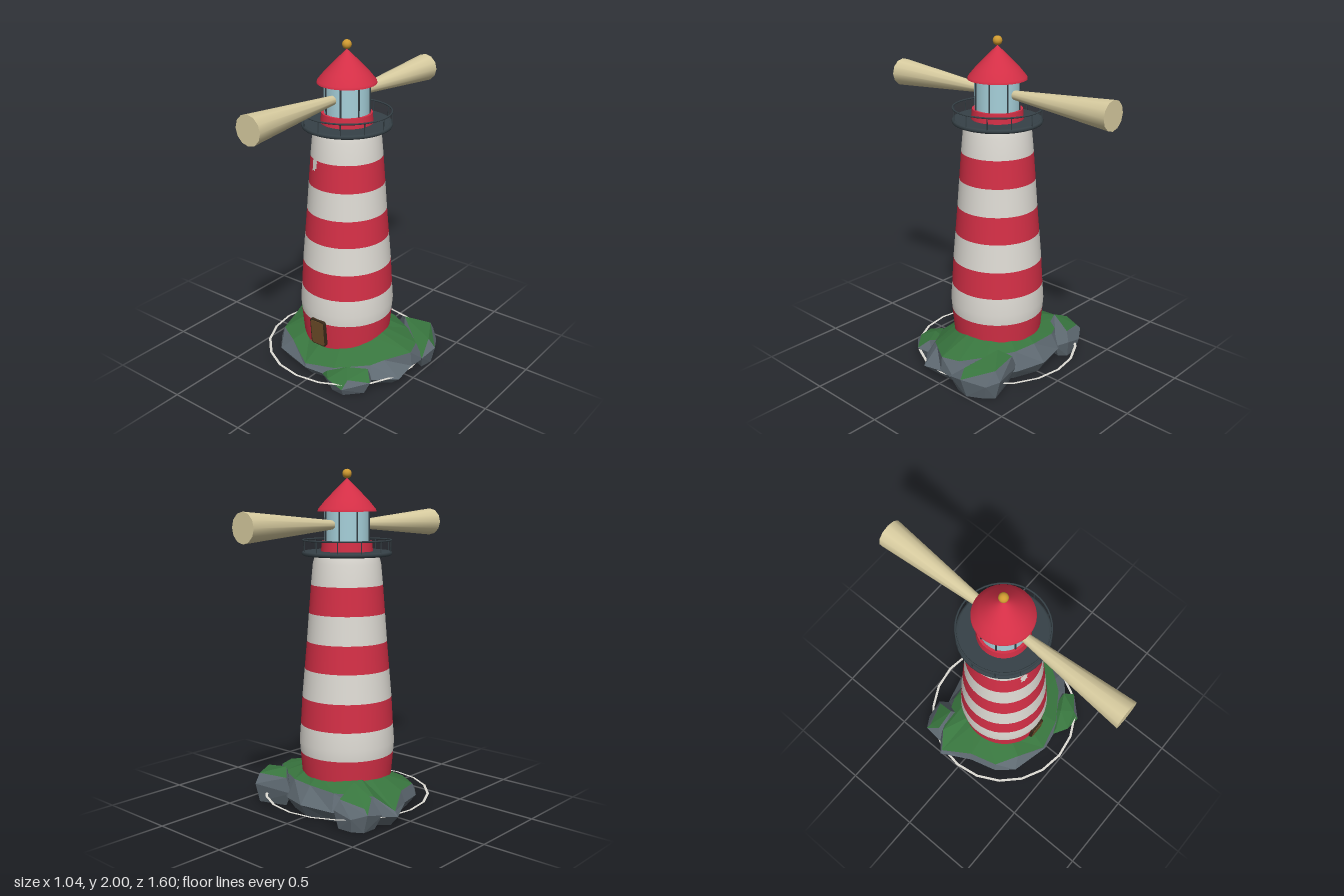
import * as THREE from 'three';
import { ConvexGeometry } from 'three/addons/geometries/ConvexGeometry.js';

const paint = (name, color, extra = {}) =>
  Object.assign(new THREE.MeshStandardMaterial({ color, ...extra }), { name });

export function createModel() {
  const red = paint('red', 0xd42f46);
  const white = paint('white', 0xdedbd4, { side: THREE.DoubleSide });
  const grass = paint('grass', 0x38753e, { flatShading: true });
  const stone = paint('stone', 0x5f6a72, { flatShading: true });
  const metal = paint('dark metal', 0x364147);
  const glass = paint('glass', 0xa6d0da);
  const beamMat = paint('light beam', 0xd8cca0);
  const gold = paint('gold', 0xcf9a30);
  const wood = paint('door wood', 0x6e4d28);
  const frameMat = paint('door frame', 0x3a2a1a);

  const model = new THREE.Group();
  const tower = new THREE.Group();
  tower.name = 'tower';
  tower.position.x = -0.01;
  model.add(tower);

  const add = (name, geo, mat, x = 0, y = 0, z = 0, parent = tower) => {
    const m = new THREE.Mesh(geo, mat);
    m.name = name;
    m.position.set(x, y, z);
    parent.add(m);
    return m;
  };
  const lathe = (pts, seg = 40) =>
    new THREE.LatheGeometry(pts.map(([r, y]) => new THREE.Vector2(r, y)), seg);
  const flatRing = (r, tube, sides = 40) =>
    new THREE.TorusGeometry(r, tube, 8, sides).rotateX(Math.PI / 2);

  // Tower wall: radius by height, cut into eight equal bands
  const profile = [[0.26, 0.12], [0.27, 0.22], [0.28, 0.335], [0.285, 0.4], [0.277, 0.505],
    [0.267, 0.67], [0.252, 0.84], [0.238, 1.0], [0.225, 1.17], [0.212, 1.335], [0.2, 1.46], [0.186, 1.51]];
  const radiusAt = (y) => {
    let i = 1;
    while (i < profile.length - 1 && profile[i][1] < y) i++;
    const [r0, y0] = profile[i - 1], [r1, y1] = profile[i];
    return r0 + (r1 - r0) * (y - y0) / (y1 - y0);
  };
  const levels = [0.12, 0.335, 0.505, 0.67, 0.84, 1.003, 1.17, 1.335, 1.51];
  for (let i = 0; i < 8; i++) {
    const [a, b] = [levels[i], levels[i + 1]];
    const inner = profile.filter(([, y]) => y > a + 0.005 && y < b - 0.005);
    add('wallBand' + (i + 1), lathe([[radiusAt(a), a], ...inner, [radiusAt(b), b]]), i % 2 ? white : red);
  }

  // Chipped paint patch, bent onto the wall
  const chip = new THREE.Shape([[-0.093, 1.268], [-0.078, 1.275], [-0.07, 1.267], [-0.064, 1.285], [-0.05, 1.29],
    [-0.055, 1.318], [-0.046, 1.325], [-0.06, 1.345], [-0.085, 1.342], [-0.093, 1.318], [-0.087, 1.3]]
    .map(([x, y]) => new THREE.Vector2(x, y)));
  const chipGeo = new THREE.ShapeGeometry(chip);
  const cp = chipGeo.attributes.position;
  for (let i = 0; i < cp.count; i++) {
    cp.setZ(i, Math.sqrt(radiusAt(cp.getY(i)) ** 2 - cp.getX(i) ** 2) + 0.005);
  }
  chipGeo.computeVertexNormals();
  add('paintChip', chipGeo, white);

  // Door: rounded panel on a slightly larger frame, leaning with the wall
  const panel = (w, h, r, depth) => {
    const s = new THREE.Shape(), x = w / 2, y = h / 2;
    s.moveTo(-x + r, -y).lineTo(x - r, -y).quadraticCurveTo(x, -y, x, -y + r)
      .lineTo(x, y - r).quadraticCurveTo(x, y, x - r, y)
      .lineTo(-x + r, y).quadraticCurveTo(-x, y, -x, y - r)
      .lineTo(-x, -y + r).quadraticCurveTo(-x, -y, -x + r, -y);
    return new THREE.ExtrudeGeometry(s, { depth, bevelEnabled: false, curveSegments: 4 });
  };
  const door = new THREE.Group();
  door.name = 'door';
  door.position.set(0, 0.267, 0.262);
  door.rotation.x = 0.08;
  tower.add(door);
  add('doorFrame', panel(0.108, 0.176, 0.018, 0.026), frameMat, 0, 0, 0, door);
  add('doorPanel', panel(0.092, 0.16, 0.012, 0.029), wood, 0, 0, 0, door);

  // Gallery deck and railing
  add('galleryDeck', new THREE.CylinderGeometry(0.25, 0.25, 0.026, 40), metal, 0, 1.516);
  add('galleryEdge', flatRing(0.25, 0.014), metal, 0, 1.517);
  add('handRail', flatRing(0.258, 0.005), metal, 0, 1.593);
  for (let i = 0; i < 12; i++) {
    const a = i * Math.PI / 6;
    add('railPost', new THREE.CylinderGeometry(0.003, 0.003, 0.075, 6), metal,
      0.258 * Math.sin(a), 1.555, 0.258 * Math.cos(a));
  }

  // Lantern room
  add('lanternBase', new THREE.CylinderGeometry(0.147, 0.152, 0.06, 40), red, 0, 1.558);
  add('lanternGlass', new THREE.CylinderGeometry(0.132, 0.132, 0.18, 40), glass, 0, 1.675);
  for (let i = 0; i < 8; i++) {
    const a = (i + 0.5) * Math.PI / 4;
    add('glazingBar', new THREE.CylinderGeometry(0.005, 0.005, 0.18, 6), metal,
      0.134 * Math.sin(a), 1.675, 0.134 * Math.cos(a));
  }
  add('roof', lathe([[0, 1.758], [0.171, 1.758], [0.171, 1.758], [0.168, 1.772], [0.128, 1.82],
    [0.065, 1.885], [0, 1.948]]), red);
  add('finial', new THREE.SphereGeometry(0.027, 20, 14), gold, 0, 1.973);

  // Light beams to front and back
  for (const s of [1, -1]) {
    const geo = new THREE.CylinderGeometry(0.084, 0.024, 0.7, 12).rotateX(s * Math.PI / 2);
    add(s > 0 ? 'frontBeam' : 'backBeam', geo, beamMat, 0, 1.683, s * 0.45);
  }

  // Foam ring on the waterline
  add('foamRing', new THREE.RingGeometry(0.484, 0.5, 20).rotateX(-Math.PI / 2), white, 0, 0.07, 0);

  // Island: rim x, z, y, then shoulder x, z, y, going round from the left
  const rim = [
    [-0.52, -0.14, 0.07, -0.5, -0.14, 0.1], [-0.42, -0.23, 0.07, -0.4, -0.21, 0.18],
    [-0.2, -0.34, 0.07, -0.18, -0.3, 0.17], [0, -0.39, 0.08, 0, -0.31, 0.18],
    [0.17, -0.33, 0.07, 0.15, -0.29, 0.18], [0.33, -0.24, 0.07, 0.31, -0.21, 0.18],
    [0.49, -0.12, 0.07, 0.44, -0.11, 0.17], [0.485, 0, 0.08, 0.475, 0, 0.17],
    [0.49, 0.14, 0.06, 0.38, 0.14, 0.15], [0.37, 0.24, 0.06, 0.33, 0.21, 0.13],
    [0.18, 0.35, 0.05, 0.15, 0.33, 0.1], [-0.03, 0.385, 0.06, -0.04, 0.375, 0.08],
    [-0.28, 0.325, 0.07, -0.21, 0.29, 0.14], [-0.37, 0.22, 0.07, -0.35, 0.21, 0.14],
    [-0.42, 0.05, 0.08, -0.4, 0.04, 0.15]];
  const rings = [
    rim.map(() => [0, 0, 0]),
    rim.map(([x, z]) => [x * 0.87, 0, z * 0.87]),
    rim.map(([x, z, y]) => [x, y, z]),
    rim.map((p) => [p[3], p[5], p[4]]),
    rim.map(([x, z]) => {
      const k = 0.24 / Math.hypot(x, z);
      return [x * k, 0.235 - Math.max(0, z * k) * 0.22, z * k];
    }),
    rim.map(() => [0, 0.23, 0])];
  const band = (from, to) => {
    const v = [];
    for (let k = from; k < to; k++) {
      for (let i = 0; i < rim.length; i++) {
        const j = (i + 1) % rim.length, [lo, up] = [rings[k], rings[k + 1]];
        v.push(...lo[i], ...up[i], ...up[j], ...lo[i], ...up[j], ...lo[j]);
      }
    }
    const g = new THREE.BufferGeometry();
    g.setAttribute('position', new THREE.Float32BufferAttribute(v, 3));
    g.computeVertexNormals();
    return g;
  };
  add('islandRock', band(0, 3), stone, 0, 0, 0, model);
  add('islandGrass', band(3, 5), grass, 0, 0, 0, model);

  // Boulders: hull of an outline and some top points, upward faces grassed
  const boulder = (name, outline, midY, tops) => {
    const n = outline.length;
    const cx = outline.reduce((s, p) => s + p[0], 0) / n, cz = outline.reduce((s, p) => s + p[1], 0) / n;
    const pts = tops.map((t) => new THREE.Vector3(...t));
    outline.forEach(([x, z], i) => pts.push(
      new THREE.Vector3(x, midY + (i % 2) * 0.03, z),
      new THREE.Vector3(cx + (x - cx) * 0.75, 0, cz + (z - cz) * 0.75)));
    const geo = new ConvexGeometry(pts);
    const nor = geo.attributes.normal;
    for (let i = 0; i < nor.count; i += 3) geo.addGroup(i, 3, nor.getY(i) > 0.6 ? 1 : 0);
    add(name, geo, [stone, grass], 0, 0, 0, model);
  };
  boulder('backLeftBoulder',
    [[0.16, -0.31], [0.39, -0.387], [0.45, -0.33], [0.522, -0.2], [0.5, -0.09], [0.3, -0.18]], 0.09,
    [[0.26, 0.225, -0.25], [0.39, 0.18, -0.35], [0.48, 0.175, -0.19], [0.2, 0.18, -0.31]]);
  boulder('backRightBoulder',
    [[-0.455, -0.2], [-0.45, -0.32], [-0.37, -0.37], [-0.25, -0.38], [-0.2, -0.32], [-0.22, -0.2]], 0.08,
    [[-0.28, 0.245, -0.24], [-0.41, 0.18, -0.24], [-0.27, 0.17, -0.35], [-0.42, 0.14, -0.31]]);
  boulder('frontBoulder',
    [[0.08, 0.36], [0.17, 0.42], [0.28, 0.425], [0.395, 0.3], [0.35, 0.22], [0.2, 0.25]], 0.05,
    [[0.23, 0.13, 0.31], [0.34, 0.13, 0.25], [0.29, 0.1, 0.38], [0.12, 0.085, 0.36]]);

  return model;
}
